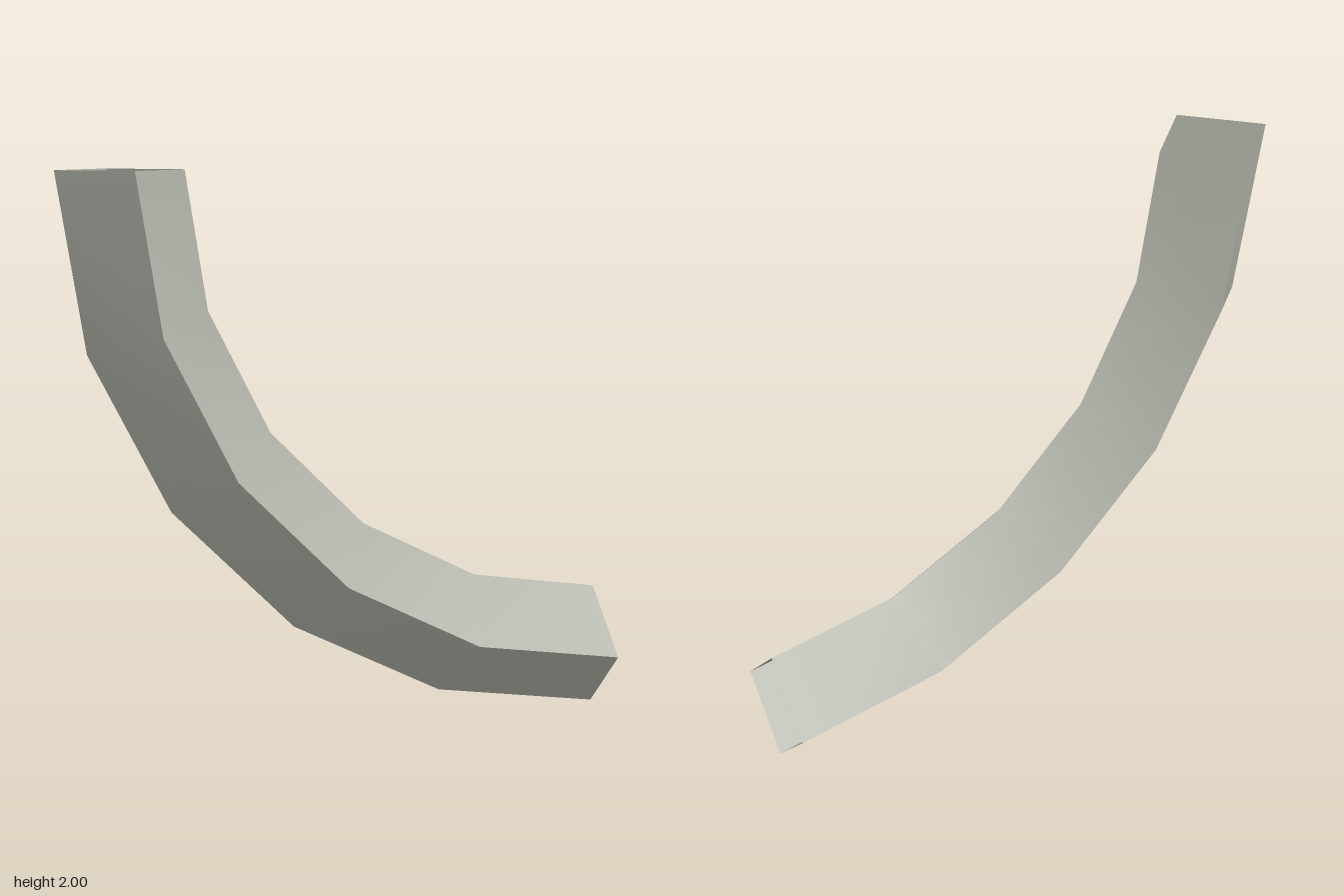
import * as THREE from 'three';
import { toCreasedNormals } from 'three/addons/utils/BufferGeometryUtils.js';

export function createModel() {
  const group = new THREE.Group();
  group.name = 'curvedPipe';

  const greyMetal = new THREE.MeshStandardMaterial({ color: 0xb0b2a8, side: THREE.DoubleSide });
  greyMetal.name = 'warm grey';

  // Open quarter bend with a diamond section: outer radius 2, five segments
  const tubeRadius = 2 / 9;
  const bend = new THREE.TorusGeometry(2 - tubeRadius, tubeRadius, 4, 5, Math.PI / 2);
  bend.rotateZ(Math.PI);
  bend.translate(1, 2, 0);

  // Smooth along the bend, sharp at the four corners
  const pipe = new THREE.Mesh(toCreasedNormals(bend, Math.PI / 6), greyMetal);
  pipe.name = 'pipeBend';
  group.add(pipe);

  return group;
}
